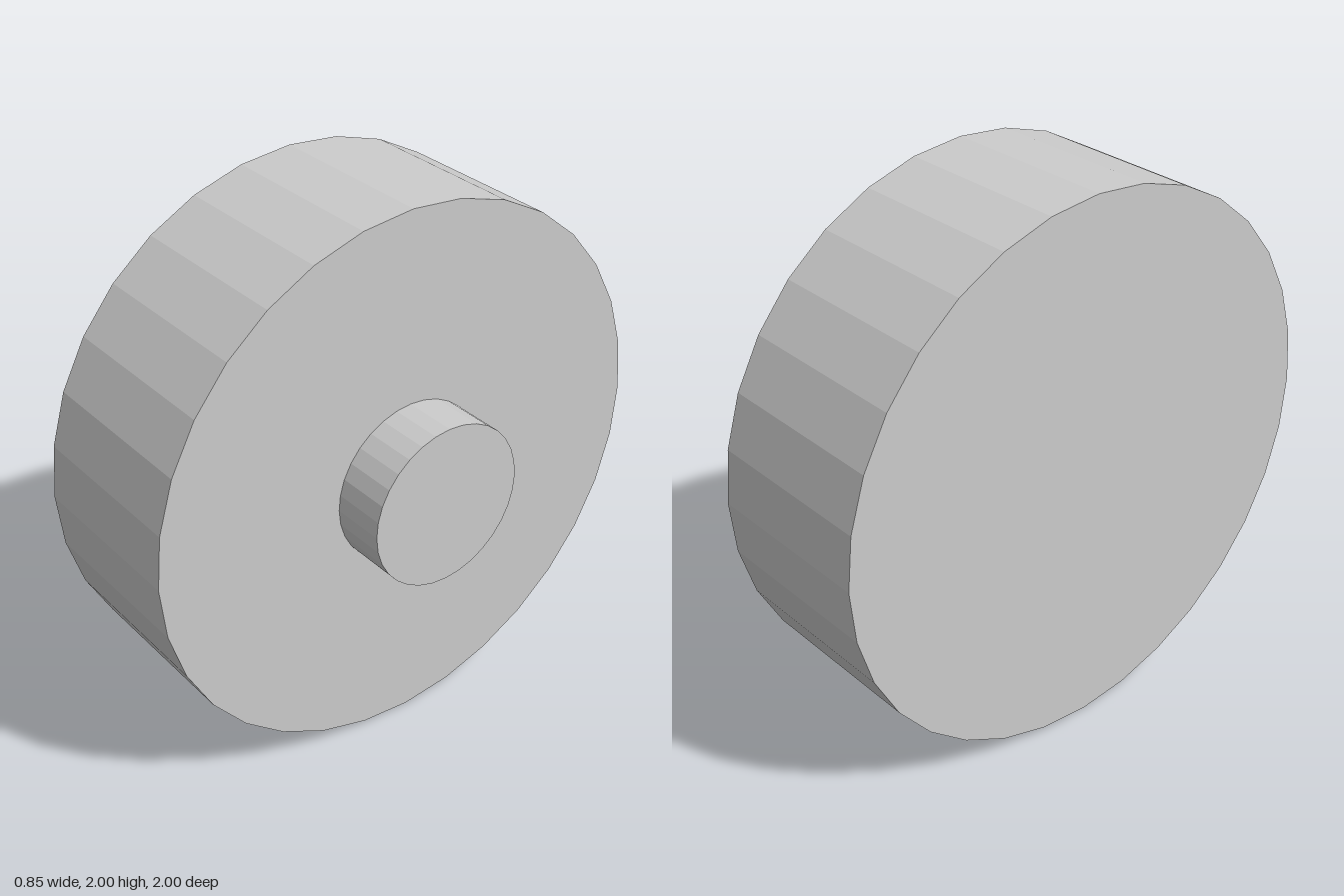
import * as THREE from 'three';

const SIDES = 32;

// Faceted disc lying along x, spanning x0 to x1 at axle height
function disc(name, radius, x0, x1, material) {
  const geometry = new THREE.CylinderGeometry(radius, radius, x1 - x0, SIDES);
  geometry.rotateZ(-Math.PI / 2);
  const mesh = new THREE.Mesh(geometry, material);
  mesh.name = name;
  mesh.position.set((x0 + x1) / 2, 1, 0);
  return mesh;
}

export function createModel() {
  const model = new THREE.Group();
  model.name = 'wheel';
  const material = new THREE.MeshStandardMaterial({ color: 0xcccccc, flatShading: true });

  // Wide tyre and the short axle stub on its left face
  model.add(disc('tyre', 1, -0.425, 0.225, material));
  model.add(disc('axleStub', 0.3, 0.225, 0.425, material));
  return model;
}
